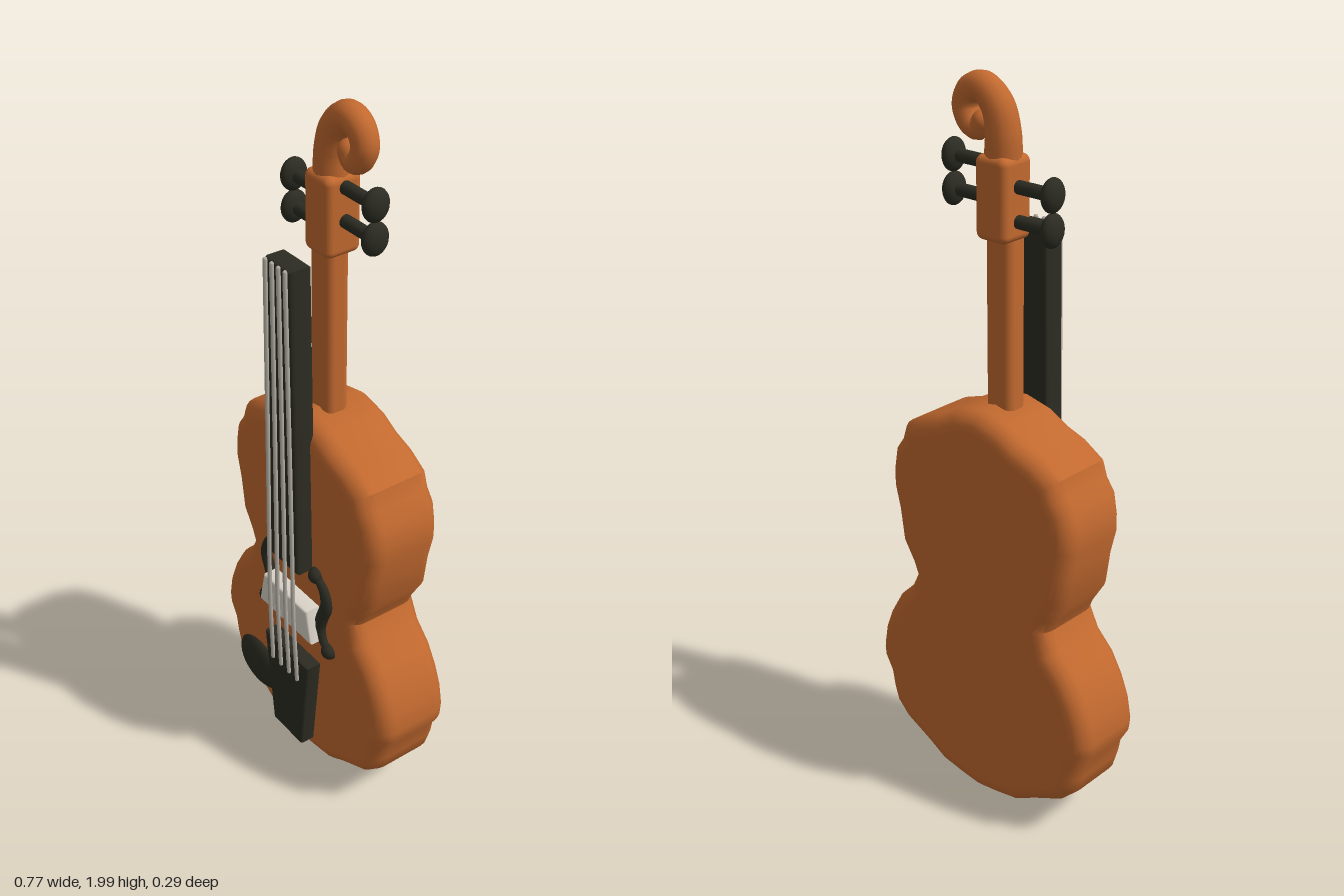
import * as THREE from 'three';
import { toCreasedNormals } from 'three/addons/utils/BufferGeometryUtils.js';
import { RoundedBoxGeometry } from 'three/addons/geometries/RoundedBoxGeometry.js';

const mat = (name, color) => {
  const m = new THREE.MeshStandardMaterial({ color });
  m.name = name;
  return m;
};

export function createModel() {
  const wood = mat('orange wood', 0xc2692f);
  const ebony = mat('dark ebony', 0x2c2c23);
  const ivory = mat('pale bridge', 0xdad3c8);
  const steel = mat('string grey', 0xb4afa5);
  const model = new THREE.Group();
  model.name = 'violin';

  const add = (name, geo, material, x = 0, y = 0, z = 0) => {
    const mesh = new THREE.Mesh(geo, material);
    mesh.name = name;
    mesh.position.set(x, y, z);
    model.add(mesh);
    return mesh;
  };

  // Outline extruded from z0 to z1 with rounded edges and flat faces
  const slab = (points, z0, z1, bevel, segments) => {
    const shape = new THREE.Shape(points.map(([x, y]) => new THREE.Vector2(x, y)));
    const raw = new THREE.ExtrudeGeometry(shape, {
      depth: z1 - z0 - 2 * bevel, bevelEnabled: true, bevelThickness: bevel,
      bevelSize: bevel, bevelOffset: -bevel, bevelSegments: segments,
    });
    raw.translate(0, 0, z0 + bevel);
    const { start, count } = raw.groups[0];
    const geo = toCreasedNormals(raw, 0.65);
    const p = geo.attributes.position, n = geo.attributes.normal;
    const mid = (z0 + z1) / 2;
    for (let i = start; i < start + count; i++) n.setXYZ(i, 0, 0, Math.sign(p.getZ(i) - mid));
    geo.clearGroups();
    return geo;
  };

  // Symmetrical trapezoid plate
  const trapezoid = (bottom, top, y0, y1, z0, z1, bevel) =>
    slab([[-bottom, y0], [bottom, y0], [top, y1], [-top, y1]], z0, z1, bevel, 3);

  // Tube whose radius follows a function of the distance along the path
  const taperedTube = (points, radiusAt, steps, sides) => {
    const curve = new THREE.CatmullRomCurve3(points.map((p) => new THREE.Vector3(...p)));
    const geo = new THREE.TubeGeometry(curve, steps, 1, sides);
    const pos = geo.attributes.position, v = new THREE.Vector3();
    for (let i = 0; i <= steps; i++) {
      const centre = curve.getPointAt(i / steps);
      for (let j = 0; j <= sides; j++) {
        const k = i * (sides + 1) + j;
        v.fromBufferAttribute(pos, k).sub(centre).multiplyScalar(radiusAt(i / steps)).add(centre);
        pos.setXYZ(k, v.x, v.y, v.z);
      }
    }
    return geo;
  };

  // Body: half outline from bottom to top, mirrored
  const half = [
    [0.06, 0.01], [0.14, 0.025], [0.2, 0.06], [0.29, 0.105], [0.335, 0.15], [0.35, 0.2],
    [0.358, 0.245], [0.383, 0.29], [0.386, 0.325], [0.374, 0.39], [0.35, 0.45],
    [0.315, 0.51], [0.265, 0.56], [0.238, 0.615], [0.25, 0.645], [0.287, 0.705],
    [0.3, 0.8], [0.317, 0.87], [0.316, 0.92], [0.305, 0.98], [0.28, 1.015], [0.265, 1.06],
    [0.2, 1.1], [0.14, 1.12], [0.085, 1.15],
  ];
  const outline = [
    [0, 0.002], ...half, [0, 1.168], ...half.slice().reverse().map(([x, y]) => [-x, y]),
  ];
  add('body', slab(outline, -0.148, 0.083, 0.05, 5), wood);

  // Neck and peg box
  add('neck', new RoundedBoxGeometry(0.085, 0.52, 0.068, 4, 0.022), wood, -0.003, 1.38, -0.024);
  add('pegBox', new RoundedBoxGeometry(0.1, 0.21, 0.104, 4, 0.02), wood, -0.003, 1.705, -0.032);

  // Scroll
  const sz = -0.032;
  const scrollPath = [
    [-0.004, 1.79, sz], [-0.004, 1.86, sz], [0.013, 1.92, sz], [0.058, 1.957, sz],
    [0.1, 1.944, sz], [0.117, 1.905, sz], [0.1, 1.867, sz], [0.075, 1.858, sz], [0.06, 1.876, sz],
  ];
  add('scroll', taperedTube(scrollPath, (t) => 0.047 - 0.018 * t, 64, 16), wood);
  add('scrollTip', new THREE.SphereGeometry(0.029, 16, 12), wood, 0.06, 1.876, sz);

  // Tuning pegs
  for (const [side, y] of [[-1, 1.737], [-1, 1.652], [1, 1.78], [1, 1.695]]) {
    const shaft = add('pegShaft', new THREE.CylinderGeometry(0.017, 0.017, 0.12, 16), ebony, side * 0.1, y, sz);
    shaft.rotation.z = Math.PI / 2;
    const knob = add('pegKnob', new THREE.SphereGeometry(1, 20, 14), ebony, side * 0.16, y, sz);
    knob.scale.set(0.022, 0.043, 0.037);
  }

  // Fingerboard, tailpiece, bridge and chin rest
  add('fingerboard', trapezoid(0.068, 0.053, 0.71, 1.612, 0.068, 0.133, 0.01), ebony);
  add('tailpiece', trapezoid(0.068, 0.103, 0.072, 0.392, 0.07, 0.128, 0.008), ebony);
  add('bridge', trapezoid(0.122, 0.1, 0.5, 0.602, 0.08, 0.13, 0.008), ivory);
  add('chinRest', new THREE.SphereGeometry(1, 32, 20), ebony, -0.193, 0.175, 0.078)
    .scale.set(0.106, 0.08, 0.034);

  // Sound holes, mirrored
  for (const s of [-1, 1]) {
    const path = [
      [0.09, 0.705], [0.128, 0.68], [0.14, 0.635], [0.122, 0.585],
      [0.112, 0.54], [0.124, 0.5], [0.148, 0.475],
    ].map(([x, y]) => [s * x, y, 0.086]);
    add('soundHole', taperedTube(path, (t) => 0.012 + 0.008 * Math.sin(Math.PI * t), 40, 10), ebony);
    add('soundHoleTop', new THREE.SphereGeometry(0.024, 16, 12), ebony, s * 0.09, 0.705, 0.084);
    add('soundHoleBottom', new THREE.SphereGeometry(0.024, 16, 12), ebony, s * 0.148, 0.475, 0.084);
  }

  // Strings
  for (const k of [-1.5, -0.5, 0.5, 1.5]) {
    const path = [
      [k * 0.027, 1.61, 0.137], [k * 0.032, 1.1, 0.137], [k * 0.036, 0.7, 0.138],
      [k * 0.037, 0.55, 0.138], [k * 0.039, 0.325, 0.131],
    ];
    add('string', taperedTube(path, () => 0.006, 40, 8), steel);
    for (const end of [path[0], path[4]]) add('stringEnd', new THREE.SphereGeometry(0.006, 8, 6), steel, ...end);
  }

  return model;
}
